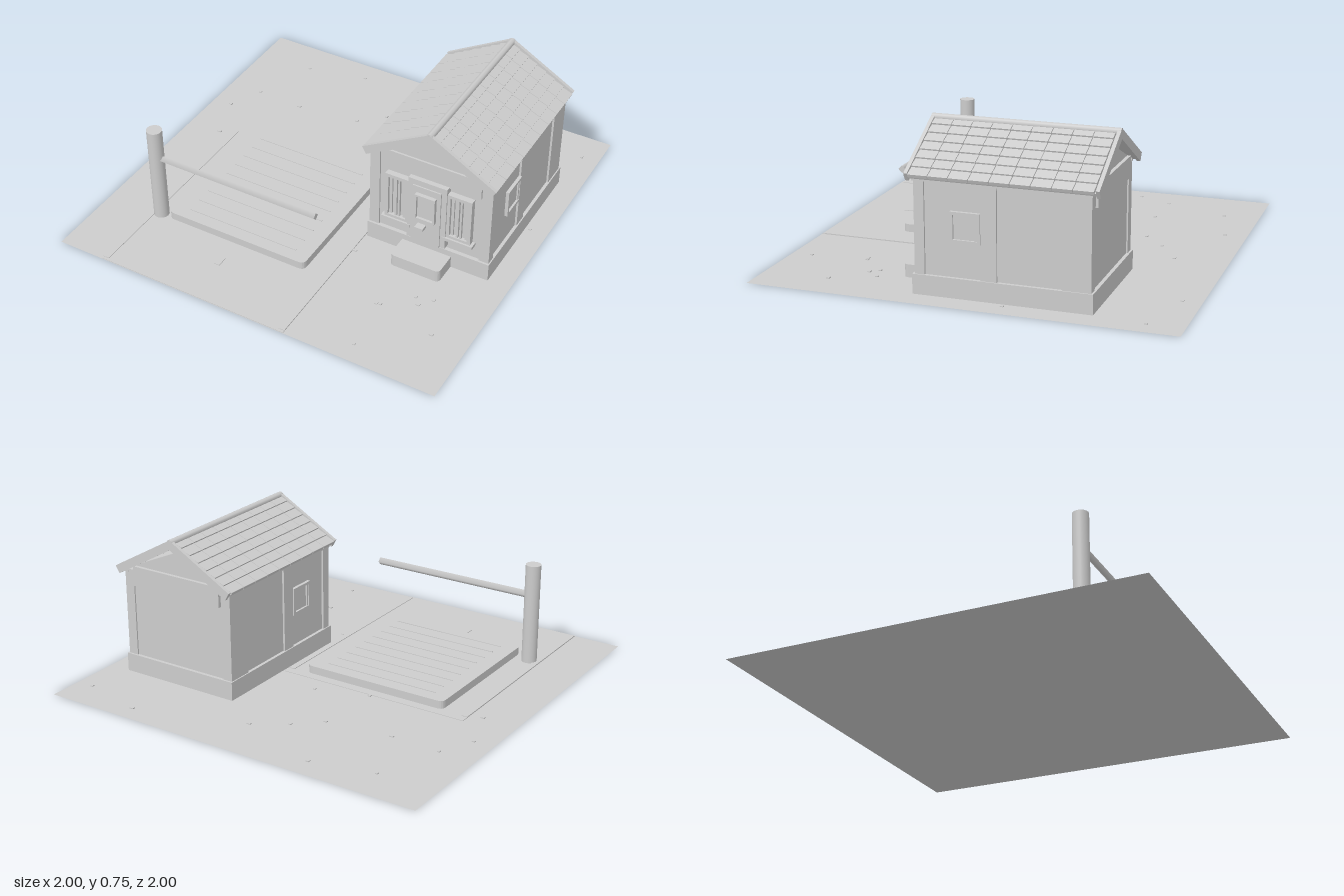
import * as THREE from 'three';

export function createModel() {
  const model = new THREE.Group();
  const grey = new THREE.MeshStandardMaterial({ color: 0xcccccc, side: THREE.DoubleSide });
  grey.name = 'plain grey';

  const add = (parent, name, geometry, x = 0, y = 0, z = 0) => {
    const mesh = new THREE.Mesh(geometry, grey);
    mesh.name = name;
    mesh.position.set(x, y, z);
    parent.add(mesh);
    return mesh;
  };
  // Box given by its limits on each axis
  const box = (parent, name, x0, x1, y0, y1, z0, z1) =>
    add(parent, name, new THREE.BoxGeometry(x1 - x0, y1 - y0, z1 - z0),
      (x0 + x1) / 2, (y0 + y1) / 2, (z0 + z1) / 2);
  const group = (parent, name, x = 0, y = 0, z = 0) => {
    const g = new THREE.Group();
    g.name = name;
    g.position.set(x, y, z);
    parent.add(g);
    return g;
  };
  // Horizontal slab with rounded corners
  const slab = (parent, name, x0, x1, y0, y1, z0, z1, r) => {
    const w = (x1 - x0) / 2, d = (z1 - z0) / 2;
    const s = new THREE.Shape();
    s.moveTo(-w + r, -d);
    s.lineTo(w - r, -d); s.quadraticCurveTo(w, -d, w, -d + r);
    s.lineTo(w, d - r); s.quadraticCurveTo(w, d, w - r, d);
    s.lineTo(-w + r, d); s.quadraticCurveTo(-w, d, -w, d - r);
    s.lineTo(-w, -d + r); s.quadraticCurveTo(-w, -d, -w + r, -d);
    const g = new THREE.ExtrudeGeometry(s, { depth: y1 - y0, bevelEnabled: false, curveSegments: 5 });
    g.rotateX(-Math.PI / 2);
    return add(parent, name, g, (x0 + x1) / 2, y0, (z0 + z1) / 2);
  };
  // Rectangular frame facing +z with a pane and upright bars
  const framed = (parent, name, w, h, t, depth, bars) => {
    const g = group(parent, name);
    for (const s of [-1, 1]) {
      box(g, 'frameUpright', s * (w - t) / 2 - t / 2, s * (w - t) / 2 + t / 2, -h / 2, h / 2, 0, depth);
      box(g, 'frameRail', -w / 2 + t, w / 2 - t, s * (h - t) / 2 - t / 2, s * (h - t) / 2 + t / 2, 0, depth);
    }
    box(g, 'pane', -w / 2 + t, w / 2 - t, -h / 2 + t, h / 2 - t, 0, depth * 0.35);
    for (const x of bars) box(g, 'bar', x - 0.005, x + 0.005, -h / 2 + t, h / 2 - t, 0, depth * 0.8);
    return g;
  };

  // Ground, paved lane and kerbs
  const ground = add(model, 'ground', new THREE.PlaneGeometry(2, 2));
  ground.rotation.x = -Math.PI / 2;
  box(model, 'pavement', -0.76, 0.24, 0.0005, 0.003, -0.18, 0.998);
  for (const x of [-0.76, 0.21]) box(model, 'kerb', x, x + 0.03, 0.003, 0.006, -0.14, 0.985);
  box(model, 'drainCover', -0.28, -0.25, 0.003, 0.006, 0.715, 0.77);

  // Scattered ground stones
  const stones = [[-0.7, -0.82], [-0.39, -0.89], [0.04, -0.74], [-0.12, -0.64], [-0.24, -0.53], [-0.57, -0.49],
    [-0.82, -0.5], [-0.9, -0.33], [-0.82, -0.1], [0, -0.27], [-0.26, -0.19], [0.59, -0.91], [0.91, -0.83],
    [0.91, -0.19], [0.25, 0.36], [0.65, 0.5], [0.73, 0.48], [0.68, 0.54], [0.53, 0.62], [0.51, 0.625],
    [0.82, 0.68], [0.55, 0.9]];
  stones.forEach(([x, z], i) => {
    const r = 0.006 + (i % 3) * 0.002;
    box(model, 'stone', x - r, x + r, 0.0005, 0.005, z - 0.007, z + 0.007);
  });

  // Raised weighing platform with grip strips
  slab(model, 'platform', -0.64, 0.12, 0.018, 0.057, -0.16, 0.615, 0.03);
  for (let i = 0; i < 9; i++) {
    const z = -0.09 + i * 0.08;
    box(model, 'gripStrip', -0.56, 0.04, 0.057, 0.06, z - 0.003, z + 0.003);
  }

  // Barrier post and boom
  add(model, 'barrierPost', new THREE.CylinderGeometry(0.038, 0.038, 0.511, 24), -0.703, 0.2575, 0.59);
  const boom = add(model, 'barrierBoom', new THREE.CylinderGeometry(0.019, 0.019, 0.87, 4), -0.26, 0.352, 0.59);
  boom.rotation.z = Math.PI / 2;

  // Hut: plinth, walls and doorstep
  const hut = group(model, 'hut', 0.568, 0, 0);
  box(hut, 'plinth', -0.319, 0.319, 0.001, 0.094, -0.592, 0.238);
  box(hut, 'walls', -0.303, 0.303, 0.094, 0.535, -0.575, 0.218);
  slab(hut, 'doorstep', -0.13, 0.127, 0.001, 0.063, 0.2, 0.363, 0.025);
  for (const s of [-1, 1]) {
    // Corner posts, side pilasters and eaves boards
    const strip = (name, x0, x1, y0, y1, z0, z1) =>
      box(hut, name, Math.min(s * x0, s * x1), Math.max(s * x0, s * x1), y0, y1, z0, z1);
    strip('cornerPost', 0.262, 0.313, 0.094, 0.535, 0.18, 0.227);
    strip('cornerPost', 0.262, 0.313, 0.094, 0.535, -0.582, -0.53);
    strip('pilaster', 0.3, 0.313, 0.094, 0.525, -0.155, -0.082);
    strip('pilaster', 0.3, 0.313, 0.094, 0.525, -0.53, -0.452);
    strip('eavesBoard', 0.295, 0.316, 0.52, 0.552, -0.585, 0.235);
    // Side window
    const w = framed(hut, 'sideWindow', 0.14, 0.14, 0.014, 0.016, [0.05]);
    w.position.set(s * 0.303, 0.327, -0.012);
    w.rotation.y = s * Math.PI / 2;
    // Front windows with sills
    const f = framed(hut, 'frontWindow', 0.125, 0.255, 0.017, 0.03, [-0.008, 0.008]);
    f.position.set(s * 0.16, 0.307, 0.218);
    for (const b of [-1, 1]) box(f, 'casement', b * 0.036 - 0.007, b * 0.036 + 0.007, -0.11, 0.11, 0, 0.02);
    box(f, 'sill', -0.077, 0.077, -0.14, -0.124, 0, 0.04);
  }

  // Front and back beams and gable triangles
  const tri = new THREE.Shape([[-0.256, 0], [0.256, 0], [0, 0.114]].map(p => new THREE.Vector2(...p)));
  const gable = new THREE.ExtrudeGeometry(tri, { depth: 0.02, bevelEnabled: false });
  for (const [zb, zg] of [[0.205, 0.2], [-0.592, -0.575]]) {
    box(hut, 'gableBeam', -0.256, 0.256, 0.458, 0.558, zb, zb + 0.025);
    add(hut, 'gable', gable, 0, 0.558, zg);
  }

  // Door
  const door = group(hut, 'door');
  for (const s of [-1, 1]) box(door, 'jamb', s * 0.086 - 0.013, s * 0.086 + 0.013, 0.113, 0.465, 0.215, 0.255);
  box(door, 'lintel', -0.073, 0.073, 0.435, 0.465, 0.215, 0.255);
  box(door, 'leaf', -0.073, 0.073, 0.113, 0.435, 0.215, 0.262);
  const doorWindow = framed(door, 'doorWindow', 0.104, 0.145, 0.01, 0.02, []);
  doorWindow.position.set(0, 0.328, 0.262);
  box(door, 'handle', -0.04, 0.003, 0.207, 0.222, 0.262, 0.298);

  // Roof: two tiled slopes meeting at a ridge
  const roof = group(hut, 'roof', 0, 0.737, 0);
  const slope = 0.384, course = slope / 7, pitch = 0.0935;
  for (const s of [-1, 1]) {
    const side = group(roof, 'roofSlope');
    side.rotation.z = -s * 0.515;
    const run = (name, a, b, y0, y1, z0, z1) =>
      box(side, name, Math.min(s * a, s * b), Math.max(s * a, s * b), y0, y1, z0, z1);
    run('roofBoard', 0, slope - 0.006, -0.028, -0.012, -0.605, 0.25);
    run('bargeBoard', 0, slope, -0.034, 0.008, 0.245, 0.262);
    run('bargeBoard', 0, slope, -0.034, 0.008, -0.62, -0.603);
    for (let c = 0; c < 7; c++) {
      for (let i = 0; i < 10; i++) {
        // Tiles overlap like scales, each lower edge lifted
        const z0 = Math.max(-0.602, 0.239 - (i + 1) * pitch + 0.008);
        const z1 = 0.244 - i * pitch;
        if (z1 - z0 < 0.01) continue;
        const tile = run('roofTile', c * course, (c + 1) * course + 0.003, -0.014, 0.001, z0, z1);
        tile.rotation.z = s * 0.13;
      }
    }
  }
  const ridge = add(roof, 'ridgeCap', new THREE.CylinderGeometry(0.018, 0.018, 0.88, 8), 0, -0.007, -0.179);
  ridge.rotation.x = Math.PI / 2;

  return model;
}
